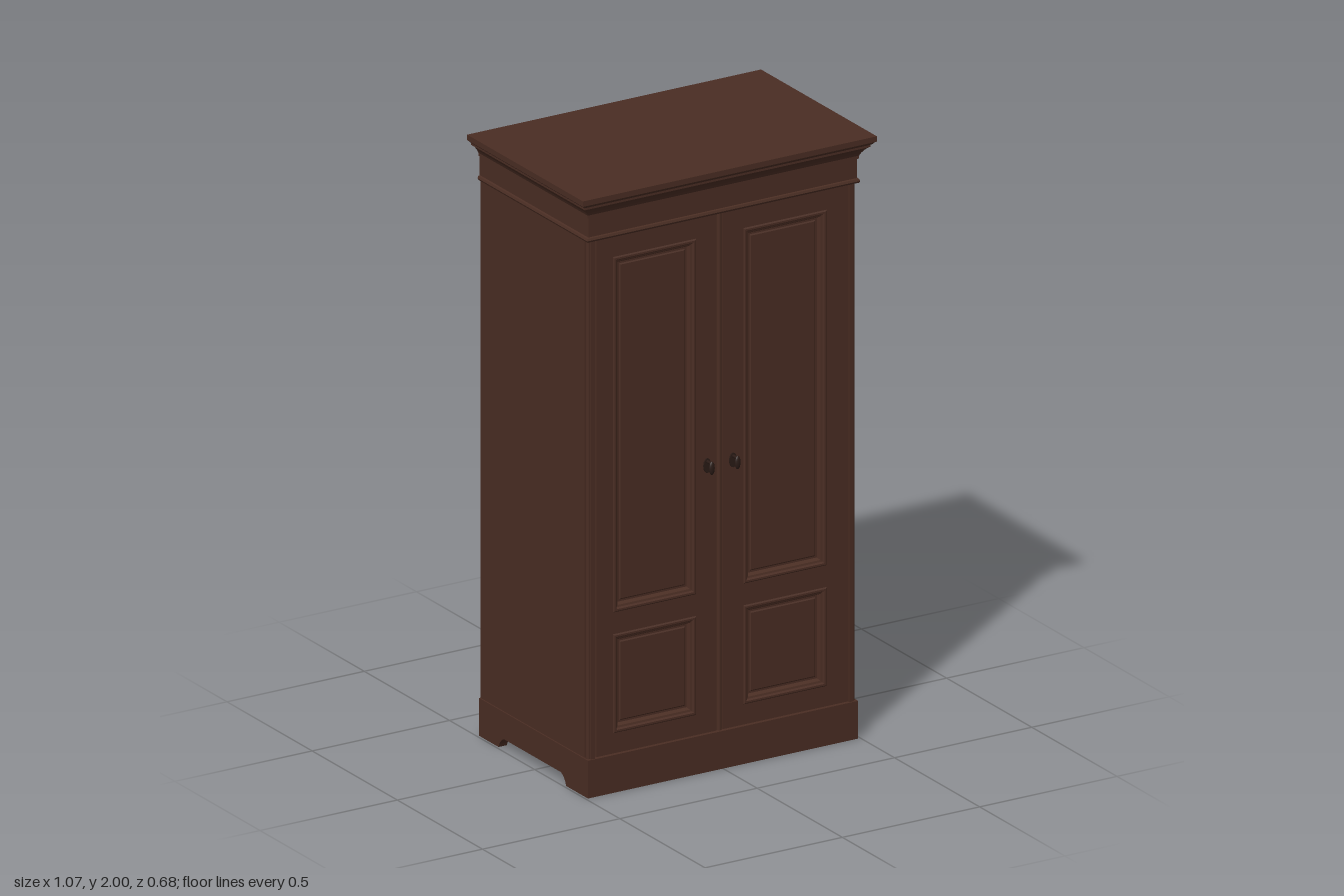
import * as THREE from 'three';

const wood = new THREE.MeshStandardMaterial({ color: 0x4a2d23 });
wood.name = 'dark brown wood';
const iron = new THREE.MeshStandardMaterial({ color: 0x2a1b16 });
iron.name = 'dark metal';

const BACK = -0.34, CARCASS_FRONT = 0.272, DOOR_FRONT = 0.296, CENTRE = -0.01;

// Joins successive four-cornered rings with flat faces and closes the last one
function loft(rings) {
  const pos = [];
  const quad = (a, b, c, d) => pos.push(...a, ...b, ...c, ...a, ...c, ...d);
  for (let r = 0; r < rings.length - 1; r++) {
    for (let i = 0; i < 4; i++) {
      const j = (i + 1) % 4;
      quad(rings[r][i], rings[r][j], rings[r + 1][j], rings[r + 1][i]);
    }
  }
  quad(...rings[rings.length - 1]);
  const g = new THREE.BufferGeometry();
  g.setAttribute('position', new THREE.Float32BufferAttribute(pos, 3));
  g.computeVertexNormals();
  return g;
}

function rectPath(target, x0, y0, x1, y1) {
  target.moveTo(x0, y0);
  target.lineTo(x1, y0);
  target.lineTo(x1, y1);
  target.lineTo(x0, y1);
  target.closePath();
  return target;
}

export function createModel() {
  const model = new THREE.Group();
  model.name = 'wardrobe';

  const add = (name, geometry, material = wood, parent = model) => {
    const mesh = new THREE.Mesh(geometry, material);
    mesh.name = name;
    parent.add(mesh);
    return mesh;
  };
  // Box given by its minimum and maximum corners
  const box = (name, x0, y0, z0, x1, y1, z1) => {
    const m = add(name, new THREE.BoxGeometry(x1 - x0, y1 - y0, z1 - z0));
    m.position.set((x0 + x1) / 2, (y0 + y1) / 2, (z0 + z1) / 2);
    return m;
  };

  // Carcass
  box('carcass', -0.487, 0.04, BACK, 0.487, 1.95, CARCASS_FRONT);

  // Plinth: straight front and back, sides cut away between the feet
  box('plinthFront', -0.492, 0, 0.265, 0.492, 0.125, 0.3);
  box('plinthBack', -0.487, 0, BACK, 0.487, 0.1, BACK + 0.02);
  const side = new THREE.Shape();
  side.moveTo(BACK, 0);
  side.lineTo(-0.225, 0);
  side.quadraticCurveTo(-0.215, 0.03, -0.19, 0.036);
  side.lineTo(0.14, 0.036);
  side.quadraticCurveTo(0.162, 0.03, 0.172, 0);
  side.lineTo(0.3, 0);
  side.lineTo(0.3, 0.125);
  side.lineTo(BACK, 0.125);
  side.closePath();
  const sideGeo = new THREE.ExtrudeGeometry(side, { depth: 0.03, bevelEnabled: false, curveSegments: 5 });
  sideGeo.rotateY(-Math.PI / 2); // outline runs along z, thickness along -x
  for (const s of [-1, 1]) {
    add('plinthSide', sideGeo).position.x = s > 0 ? 0.492 : -0.462;
    for (const z of [BACK + 0.02, 0.215]) {
      const x = s * 0.442;
      box('footBlock', x - 0.02, 0.005, z, x + 0.02, 0.042, z + 0.05);
    }
  }

  // Corner posts with a slim rounded edge
  for (const s of [-1, 1]) {
    const x = s * 0.4705;
    box('cornerPost', x - 0.0075, 0.125, 0.265, x + 0.0075, 1.85, DOOR_FRONT);
    const bead = add('cornerBead', new THREE.CylinderGeometry(0.008, 0.008, 1.725, 12));
    bead.position.set(s * 0.48, 0.9875, 0.282);
  }

  // Doors: frames with two openings, each filled by a moulded recessed panel
  const panels = [[0.2, 0.52], [0.6, 1.77]];
  const moulding = [[-0.004, 0.296], [0, 0.3], [0.006, 0.3], [0.01, 0.294],
    [0.016, 0.292], [0.022, 0.281], [0.028, 0.281], [0.032, 0.284]];
  for (const s of [-1, 1]) {
    const door = new THREE.Group();
    door.name = s > 0 ? 'leftDoor' : 'rightDoor';
    model.add(door);
    const span = (a, b) => [CENTRE + s * a, CENTRE + s * b].sort((p, q) => p - q);
    const outer = s > 0 ? [CENTRE + 0.011, 0.459] : [-0.459, CENTRE - 0.011];
    const [px0, px1] = span(0.09, 0.385);
    const frame = rectPath(new THREE.Shape(), outer[0], 0.129, outer[1], 1.842);
    for (const [y0, y1] of panels) {
      frame.holes.push(rectPath(new THREE.Path(), px0, y0, px1, y1));
    }
    const frameGeo = new THREE.ExtrudeGeometry(frame, { depth: DOOR_FRONT - 0.265, bevelEnabled: false });
    add('doorFrame', frameGeo, wood, door).position.z = 0.265;
    for (const [y0, y1] of panels) {
      const rings = moulding.map(([d, z]) => [
        [px0 + d, y0 + d, z], [px1 - d, y0 + d, z],
        [px1 - d, y1 - d, z], [px0 + d, y1 - d, z]]);
      add('doorPanel', loft(rings), wood, door);
    }

    // Drop pull: oval rosette, short stem and hanging oval
    const pull = new THREE.Group();
    pull.name = 'doorPull';
    pull.position.set(CENTRE + s * 0.047, 1.015, DOOR_FRONT);
    door.add(pull);
    const disc = new THREE.CylinderGeometry(1, 1, 1, 20).rotateX(Math.PI / 2);
    const rosette = add('rosette', disc, iron, pull);
    rosette.scale.set(0.013, 0.024, 0.006);
    rosette.position.z = 0.002;
    const stem = add('stem', disc, iron, pull);
    stem.scale.set(0.005, 0.005, 0.03);
    stem.position.set(0, 0.014, 0.015);
    const drop = add('drop', new THREE.SphereGeometry(1, 16, 10), iron, pull);
    drop.scale.set(0.01, 0.022, 0.006);
    drop.position.z = 0.03;
  }

  // Rounded strip covering the meeting edges of the doors
  const strip = add('centreStrip', new THREE.CylinderGeometry(0.008, 0.008, 1.713, 12));
  strip.position.set(CENTRE, 0.9855, 0.292);

  // Frieze and cornice, stepping outward on the front and both sides
  const cornice = [[-0.03, 1.842], [0.004, 1.842], [0.007, 1.848], [0.004, 1.855],
    [-0.001, 1.857], [-0.001, 1.92], [0.004, 1.922], [0.004, 1.932], [0.009, 1.942],
    [0.017, 1.953], [0.027, 1.962], [0.03, 1.963], [0.03, 1.97], [0.036, 1.974],
    [0.041, 1.981], [0.045, 1.982], [0.045, 2]];
  add('cornice', loft(cornice.map(([o, y]) => {
    const x = 0.49 + o, z = 0.298 + o * 0.94;
    return [[-x, y, BACK], [-x, y, z], [x, y, z], [x, y, BACK]];
  })));

  return model;
}
